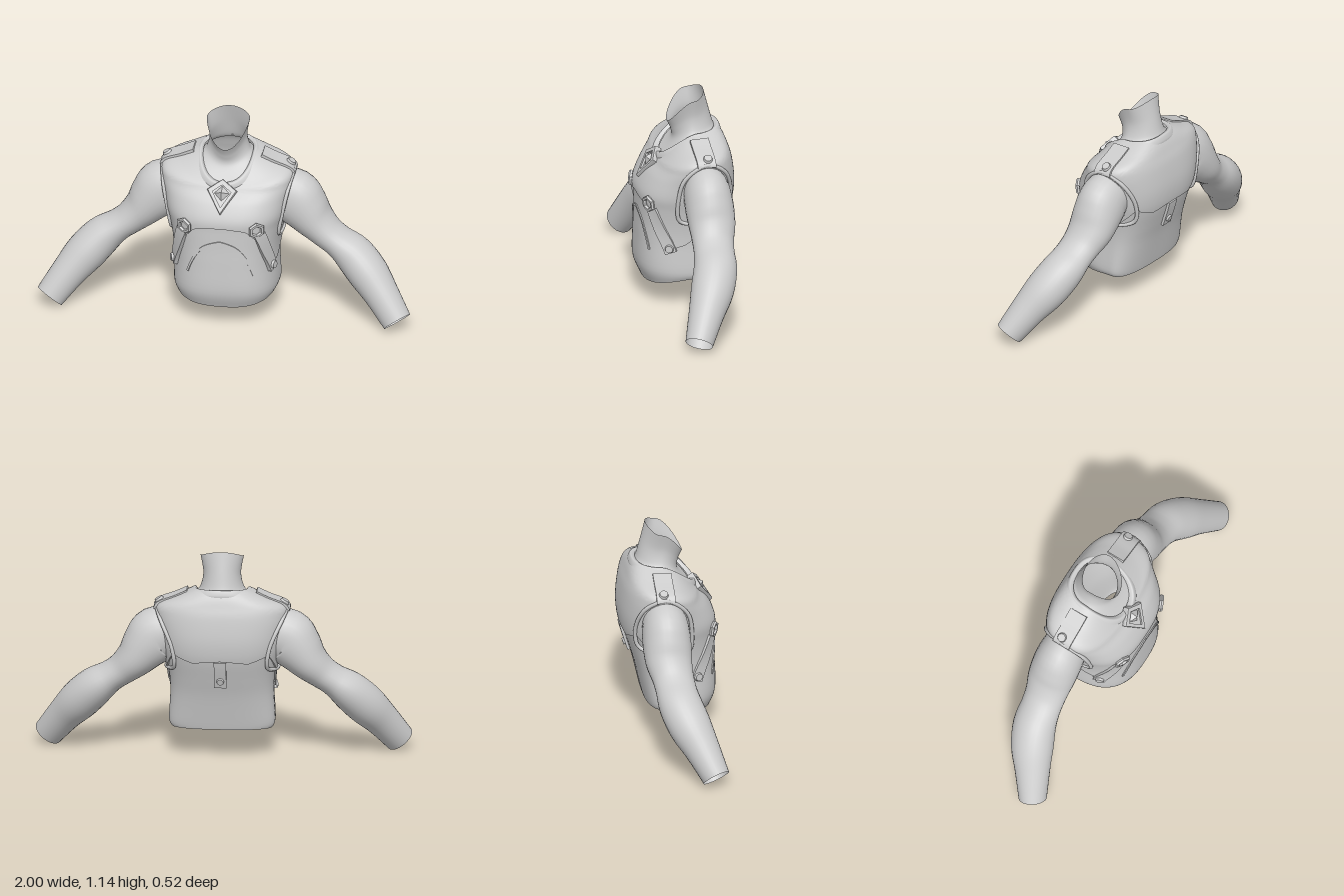
import * as THREE from 'three';
import { toCreasedNormals } from 'three/addons/utils/BufferGeometryUtils.js';

const V = (x, y, z) => new THREE.Vector3(x, y, z);
const mat = new THREE.MeshStandardMaterial({ color: 0xcccccc, side: THREE.DoubleSide });
const POW = 0.75, ZC = -0.04;
const spow = (t, p) => Math.sign(t) * Math.pow(Math.abs(t), p);

function part(name, geometry) {
  const m = new THREE.Mesh(geometry, mat);
  m.name = name;
  return m;
}

// Grid surface from fn(u, v), both 0..1, closed around u
function surface(fn, nu, nv, flip = false, crease = 0) {
  const pos = [], idx = [];
  for (let j = 0; j <= nv; j++)
    for (let i = 0; i < nu; i++) pos.push(...fn(i / nu, j / nv).toArray());
  const id = (i, j) => j * nu + (i % nu);
  for (let j = 0; j < nv; j++)
    for (let i = 0; i < nu; i++) {
      const a = id(i, j), b = id(i + 1, j), c = id(i + 1, j + 1), d = id(i, j + 1);
      idx.push(...(flip ? [a, c, b, a, d, c] : [a, b, c, a, c, d]));
    }
  const g = new THREE.BufferGeometry();
  g.setAttribute('position', new THREE.Float32BufferAttribute(pos, 3));
  g.setIndex(idx);
  g.computeVertexNormals();
  return crease ? toCreasedNormals(g, crease) : g;
}

// Catmull-Rom blend of table rows at t = 0..rows-1
function blend(rows, t) {
  const n = rows.length - 1, i = Math.min(Math.floor(t), n - 1), f = t - i;
  const r = k => rows[Math.max(0, Math.min(n, k))];
  return rows[0].map((_, c) => {
    const a = r(i - 1)[c], b = r(i)[c], d = r(i + 1)[c], e = r(i + 2)[c];
    return b + 0.5 * f * (d - a + f * (2 * a - 5 * b + 4 * d - e + f * (3 * (b - d) + e - a)));
  });
}

// Cross-section point: angle 0 is front, row = [halfWidth, zFront, zBack, yFront, ySide, yBack]
function ringPoint(row, a, p = POW, tilt = 1.2) {
  const [w, zf, zb, yf, ys, yb] = row, c = Math.cos(a), k = Math.abs(c) ** tilt;
  return V(w * spow(Math.sin(a), p), ys + ((c > 0 ? yf : yb) - ys) * k,
    ZC + (c > 0 ? zf - ZC : ZC - zb) * spow(c, p));
}

const TORSO = [
  [0.268, 0.225, -0.13, 0.11, 0.16, 0.16],
  [0.282, 0.257, -0.14, 0.20, 0.20, 0.20],
  [0.275, 0.255, -0.175, 0.35, 0.35, 0.35],
  [0.28, 0.25, -0.205, 0.45, 0.45, 0.45],
  [0.297, 0.247, -0.235, 0.55, 0.55, 0.55],
  [0.315, 0.243, -0.247, 0.62, 0.62, 0.62],
  [0.33, 0.203, -0.247, 0.70, 0.70, 0.70],
  [0.345, 0.16, -0.232, 0.75, 0.78, 0.80],
  [0.335, 0.143, -0.213, 0.775, 0.836, 0.86],
  [0.24, 0.135, -0.195, 0.785, 0.876, 0.905],
  [0.15, 0.127, -0.172, 0.795, 0.918, 0.94],
];
const TOP = TORSO.length - 1;
const S = (a, v) => ringPoint(blend(TORSO, v), a);
function normalAt(a, v) {
  const h = 0.02, v0 = Math.max(0, v - h), v1 = Math.min(TOP, v + h);
  return S(a + h, v).sub(S(a - h, v)).cross(S(a, v1).sub(S(a, v0))).normalize();
}
const raised = (a, v, d) => S(a, v).addScaledVector(normalAt(a, v), d);
// Torso row for a given side height
function rowAt(y) {
  let lo = 0, hi = TOP;
  for (let i = 0; i < 30; i++) {
    const m = (lo + hi) / 2;
    if (blend(TORSO, m)[4] < y) lo = m; else hi = m;
  }
  return lo;
}

// Raised flat strap along points [angle, row] on the torso
function strap(path, width, thick) {
  const n = path.length * 6;
  const at = t => { const [a, v] = blend(path, t * (path.length - 1)); return [a, Math.min(v, TOP)]; };
  return surface((u, w) => {
    let j = Math.round(w * (n + 2)) - 1;
    const cap = j < 0 || j > n;
    j = Math.max(0, Math.min(n, j));
    const t = j / n, [a, v] = at(t), nrm = normalAt(a, v);
    const tan = S(...at(Math.min(1, t + 0.01))).sub(S(...at(Math.max(0, t - 0.01)))).normalize();
    const side = tan.clone().cross(nrm).normalize(), q = Math.round(u * 4);
    const p = S(a, v);
    if (cap) return p.addScaledVector(nrm, thick / 2);
    return p.addScaledVector(side, (q === 0 || q === 3 ? -1 : 1) * width / 2)
      .addScaledVector(nrm, q < 2 ? -0.008 : thick);
  }, 4, n + 2, true, 0.6);
}

// Place a y-up object on the torso
function place(obj, a, v, lift) {
  obj.position.copy(raised(a, v, lift));
  obj.quaternion.setFromUnitVectors(V(0, 1, 0), normalAt(a, v));
  return obj;
}
const button = (a, v, r, lift) => place(part('button',
  toCreasedNormals(new THREE.CylinderGeometry(r * 0.8, r, 0.016, 12), 0.6)), a, v, lift);

// Vest hem height around half the body: [angle, y]
const HEM = [[0, 0.585], [0.35, 0.57], [0.6, 0.51], [1.1, 0.33], [1.4, 0.36], [1.8, 0.5], [2.3, 0.6], [2.75, 0.56], [Math.PI, 0.575]];
function hem(a) {
  const t = Math.min(a, 2 * Math.PI - a);
  const i = HEM.findIndex((h, k) => k === HEM.length - 2 || t <= HEM[k + 1][0]);
  const f = (t - HEM[i][0]) / (HEM[i + 1][0] - HEM[i][0]);
  return HEM[i][1] + (HEM[i + 1][1] - HEM[i][1]) * f;
}

const NECK = [
  [0.145, 0.13, -0.175, 0.78, 0.9, 0.925],
  [0.115, 0.062, -0.16, 0.865, 0.935, 0.955],
  [0.1, 0.064, -0.137, 0.92, 1.01, 1.04],
  [0.115, 0.086, -0.11, 0.97, 1.105, 1.14],
];
const COLLAR = [
  [0.185, 0.147, -0.2, 0.765, 0.895, 0.905],
  [0.175, 0.158, -0.2, 0.775, 0.908, 0.925],
  [0.147, 0.15, -0.187, 0.803, 0.932, 0.95],
  [0.132, 0.122, -0.165, 0.80, 0.92, 0.94],
];

// Arm sections: x, y, z of the centre, radius in the front plane, radius in depth
const ARM = [
  [0.28, 0.67, -0.055, 0.145, 0.115],
  [0.345, 0.66, -0.055, 0.153, 0.125],
  [0.4, 0.605, -0.056, 0.136, 0.129],
  [0.46, 0.532, -0.055, 0.107, 0.125],
  [0.525, 0.47, -0.045, 0.087, 0.112],
  [0.59, 0.422, -0.037, 0.083, 0.109],
  [0.672, 0.36, -0.024, 0.103, 0.116],
  [0.757, 0.273, 0.014, 0.108, 0.114],
  [0.84, 0.175, 0.066, 0.093, 0.094],
  [0.933, 0.05, 0.125, 0.08, 0.074],
];
function arm(s) {
  const n = ARM.length - 1;
  return surface((u, w) => {
    const t = w * n, [x, y, z, ry, rz] = blend(ARM, t);
    const p = blend(ARM, Math.min(n, t + 0.1)), q = blend(ARM, Math.max(0, t - 0.1));
    const tan = V(p[0] - q[0], p[1] - q[1], p[2] - q[2]).normalize();
    const up = V(-tan.y, tan.x, 0).normalize(), depth = tan.clone().cross(up);
    const a = u * Math.PI * 2;
    const r = V(x, y, z).addScaledVector(up, ry * Math.cos(a)).addScaledVector(depth, rz * Math.sin(a));
    r.x *= s;
    return r;
  }, 28, 36, s < 0);
}

// Armhole outline as [z, y]
const HOLE = [[0.075, 0.5], [0.088, 0.64], [0.055, 0.76], [-0.05, 0.825], [-0.15, 0.77], [-0.195, 0.64], [-0.175, 0.53], [-0.05, 0.49]];
function armholeRim(s) {
  const pts = HOLE.map(([z, y]) => {
    const v = rowAt(y), r = blend(TORSO, v), d = z > ZC ? r[1] - ZC : ZC - r[2];
    return raised(s * Math.acos(spow((z - ZC) / d, 1 / POW)), v, 0.01);
  });
  return new THREE.TubeGeometry(new THREE.CatmullRomCurve3(pts, true), 64, 0.011, 8, true);
}

// Kite frame with a faceted stone, leaning back against the chest
function pendant() {
  const g = new THREE.Group();
  g.name = 'pendant';
  const kite = (C, k) => new C([[0, 0.085], [0.076, 0.028], [0, -0.1], [-0.076, 0.028]]
    .map(([x, y]) => new THREE.Vector2(x * k, y * k)));
  const shape = kite(THREE.Shape, 1);
  shape.holes.push(kite(THREE.Path, 0.66));
  g.add(part('pendantFrame', new THREE.ExtrudeGeometry(shape, { depth: 0.028, bevelSize: 0.003, bevelThickness: 0.005, bevelSegments: 1 })));
  g.add(part('pendantBack', new THREE.ExtrudeGeometry(kite(THREE.Shape, 0.8), { depth: 0.02, bevelEnabled: false })));
  const stone = part('pendantStone', toCreasedNormals(new THREE.ConeGeometry(0.042, 0.03, 4).rotateX(Math.PI / 2), 0.1));
  stone.position.set(0, 0.012, 0.034);
  g.add(stone);
  g.position.set(0, 0.737, 0.167);
  g.rotation.x = -0.6;
  return g;
}

export function createModel() {
  const model = new THREE.Group();
  model.name = 'armouredTorso';
  const TAU = Math.PI * 2;
  const loft = (rows, p, tilt) => surface((u, w) => ringPoint(blend(rows, w * (rows.length - 1)), u * TAU, p, tilt), 56, 24);

  model.add(part('torso', surface((u, w) => S(u * TAU, w * TOP), 72, 50)));
  model.add(part('neck', loft(NECK, 1, 1.7)));
  model.add(part('collar', loft(COLLAR, 0.85, 1.2)));

  // Vest layer with a stepped hem
  model.add(part('vest', surface((u, w) => {
    const a = u * TAU, lo = rowAt(hem(a)), k = Math.max(0, (w * 41 - 1) / 40);
    return raised(a, lo + (TOP - lo) * k, w === 0 ? -0.004 : 0.009);
  }, 96, 41, false, 0.7)));

  for (const s of [1, -1]) {
    model.add(part(s > 0 ? 'leftArm' : 'rightArm', arm(s)));
    model.add(part('armholeRim', armholeRim(s)));

    // Shoulder strap and its button
    model.add(part('shoulderStrap', strap([[s * 1.6, 7.6], [s * 1.6, 8.1], [s * 1.6, 8.8], [s * 1.6, 9.6]], 0.1, 0.017)));
    model.add(button(s * 1.64, 8.15, 0.027, 0.02));

    // Side strap with hexagonal buckle and lower button
    model.add(part('sideStrap', strap([[s * 0.64, rowAt(0.55)], [s * 0.88, rowAt(0.44)], [s * 1.12, rowAt(0.315)]], 0.064, 0.02)));
    model.add(button(s * 1.09, rowAt(0.34), 0.025, 0.024));
    const hex = part('hexBuckle', toCreasedNormals(new THREE.TorusGeometry(0.036, 0.012, 6, 6).rotateX(Math.PI / 2), 0.4));
    model.add(place(hex, s * 0.55, rowAt(0.58), 0.016));

    // Slanted seam across the midriff
    model.add(part('midriffSeam', strap([[0, rowAt(0.5)], [s * 0.28, rowAt(0.45)], [s * 0.58, rowAt(0.31)]], 0.012, 0.006)));
  }

  // Strap and button hanging at the back
  model.add(part('backStrap', strap([[Math.PI, rowAt(0.57)], [Math.PI, rowAt(0.5)], [Math.PI, rowAt(0.42)]], 0.065, 0.014)));
  model.add(button(Math.PI, rowAt(0.46), 0.022, 0.016));

  model.add(pendant());
  return model;
}
